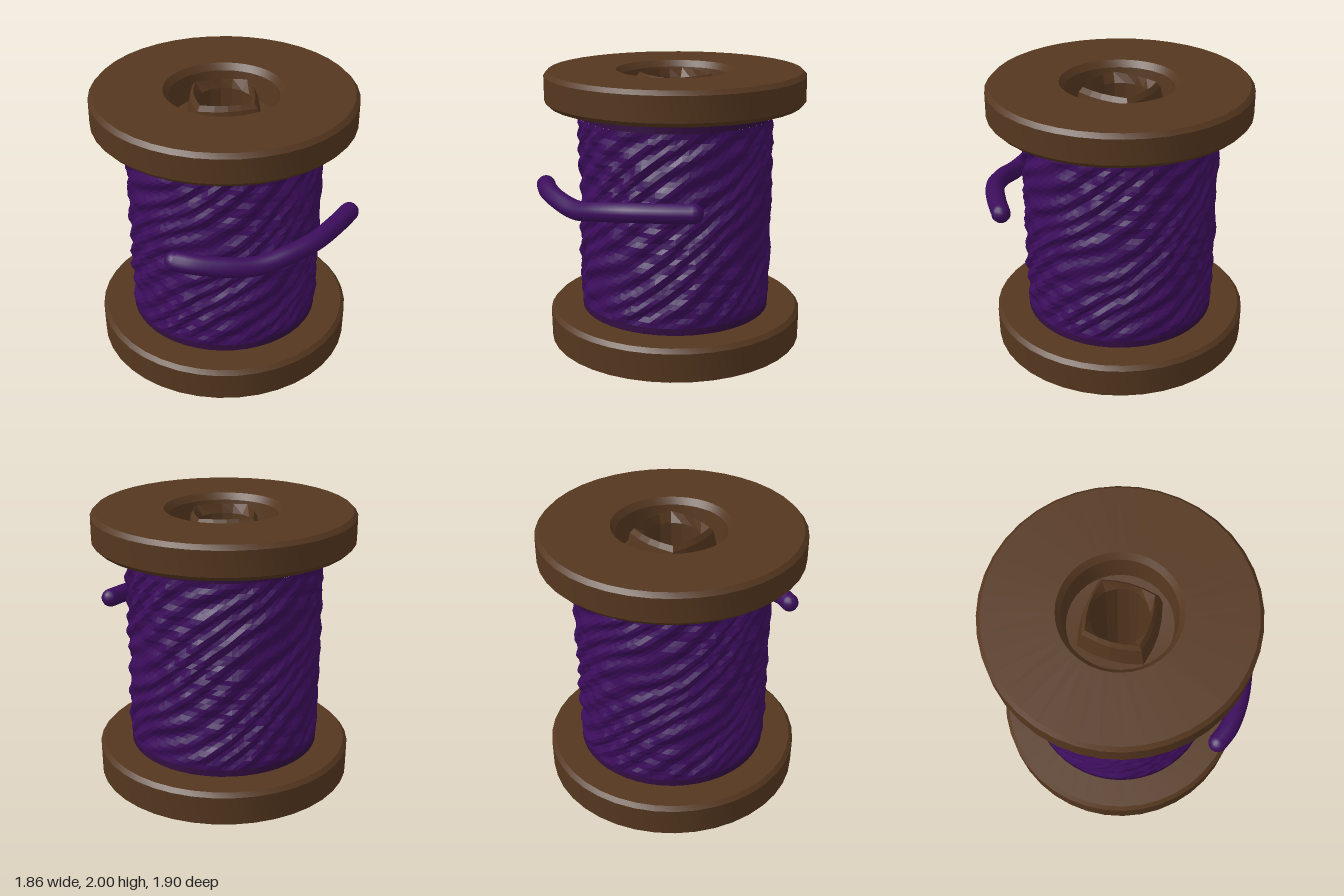
import * as THREE from 'three';
import { toCreasedNormals } from 'three/addons/utils/BufferGeometryUtils.js';

const wood = new THREE.MeshStandardMaterial({ color: 0x55371f });
wood.name = 'brown wood';
const woodFacet = wood.clone();
woodFacet.flatShading = true;
const purple = new THREE.MeshStandardMaterial({ color: 0x3c0d5c });
purple.name = 'purple thread';
const purpleFacet = purple.clone();
purpleFacet.flatShading = true;
const shade = new THREE.MeshStandardMaterial({ color: 0x330e42, flatShading: true });
shade.name = 'dark purple thread';

const AXIS_Z = -0.025;

function lathe(points, segments) {
  return new THREE.LatheGeometry(points.map(([r, y]) => new THREE.Vector2(r, y)), segments);
}

function addMesh(parent, name, geometry, material, x = 0, y = 0, z = 0) {
  const mesh = new THREE.Mesh(geometry, material);
  mesh.name = name;
  mesh.position.set(x, y, z);
  parent.add(mesh);
  return mesh;
}

// Wound thread: a cylinder whose surface is pushed in and out along slanted strands
function woundThread() {
  const bottom = 0.3, top = 1.67;
  const g = new THREE.CylinderGeometry(0.69, 0.69, top - bottom, 96, 38, true);
  g.translate(0, (bottom + top) / 2, 0);
  const p = g.attributes.position;
  for (let i = 0; i < p.count; i++) {
    const x = p.getX(i), y = p.getY(i), z = p.getZ(i);
    const a = Math.atan2(x, z);
    const wobble = 1.6 * Math.sin(3 * a + 4 * y) + 1.1 * Math.sin(5 * a - 7 * y);
    const strands = Math.sin(20 * a - 40 * y + wobble);
    const cross = Math.sin(9 * a + 27 * y + 1.7 * wobble);
    const lumps = Math.sin(11 * a - 9 * y + wobble);
    const fade = Math.min(1, (y - bottom) / 0.06, (top - y) / 0.06);
    const r = 0.69 + fade * (0.012 * strands + 0.006 * cross + 0.005 * lumps);
    p.setXYZ(i, Math.sin(a) * r, y, Math.cos(a) * r);
  }
  g.computeVertexNormals();
  return g;
}

// Squared-off tube through the spool that shows inside both recesses
function coreTube() {
  const g = lathe([
    [0.22, 0], [0.25, 0.03], [0.285, 0.25], [0.285, 1.75], [0.25, 1.93],
    [0.225, 1.965], [0.2, 1.9], [0.2, 0.06], [0.22, 0],
  ], 16);
  const p = g.attributes.position;
  for (let i = 0; i < p.count; i++) {
    const x = p.getX(i), z = p.getZ(i), r = Math.hypot(x, z);
    if (r < 0.21) continue;
    const k = 0.93 * Math.pow(Math.max(Math.abs(x), Math.abs(z)) / r, -0.6);
    p.setX(i, x * k);
    p.setZ(i, z * k);
  }
  g.computeVertexNormals();
  return g;
}

export function createModel() {
  const model = new THREE.Group();
  model.name = 'threadSpool';

  // Wooden end discs, each with a round recess
  const topDisc = lathe([
    [0.6, 1.76], [0.9, 1.76], [0.928, 1.79], [0.928, 1.965], [0.9, 1.995],
    [0.42, 1.995], [0.385, 1.95], [0.36, 1.77], [0.22, 1.76],
  ], 40);
  const bottomDisc = lathe([
    [0.22, 0.24], [0.38, 0.23], [0.42, 0.012], [0.925, 0.012],
    [0.928, 0.22], [0.9, 0.25], [0.6, 0.25],
  ], 40);
  addMesh(model, 'topDisc', toCreasedNormals(topDisc, 0.5), wood, 0, 0, AXIS_Z);
  addMesh(model, 'bottomDisc', toCreasedNormals(bottomDisc, 0.5), wood, 0, 0, AXIS_Z);
  addMesh(model, 'coreTube', coreTube(), woodFacet, 0, 0, AXIS_Z);

  // Thread and the darker turns beside the discs
  addMesh(model, 'woundThread', woundThread(), purpleFacet, 0, 0, AXIS_Z);
  for (const [name, y0, y1] of [['upperTurns', 1.67, 1.77], ['lowerTurns', 0.24, 0.3]]) {
    const band = new THREE.CylinderGeometry(0.69, 0.69, y1 - y0, 48, 1, true);
    addMesh(model, name, band, shade, 0, (y0 + y1) / 2, AXIS_Z);
  }
  // Flat inner faces closing the gap under the discs
  addMesh(model, 'discUnderside', new THREE.RingGeometry(0.55, 0.7, 40), wood, 0, 1.761, AXIS_Z)
    .rotation.x = Math.PI / 2;

  // Loose end hanging off the front, with rounded tips
  const radius = 0.068;
  const path = [
    [-0.42, 1.175, 0.81], [-0.3, 1.17, 0.855], [-0.1, 1.145, 0.875], [0.12, 1.125, 0.855],
    [0.34, 1.16, 0.8], [0.52, 1.185, 0.71], [0.7, 1.195, 0.54], [0.83, 1.2, 0.39],
  ].map((q) => new THREE.Vector3(...q));
  const loose = new THREE.Group();
  loose.name = 'looseThread';
  model.add(loose);
  addMesh(loose, 'looseStrand',
    new THREE.TubeGeometry(new THREE.CatmullRomCurve3(path), 36, radius, 12), purple);
  for (const [name, q] of [['rightTip', path[0]], ['leftTip', path[path.length - 1]]]) {
    addMesh(loose, name, new THREE.SphereGeometry(radius, 12, 10), purple, q.x, q.y, q.z);
  }
  return model;
}
